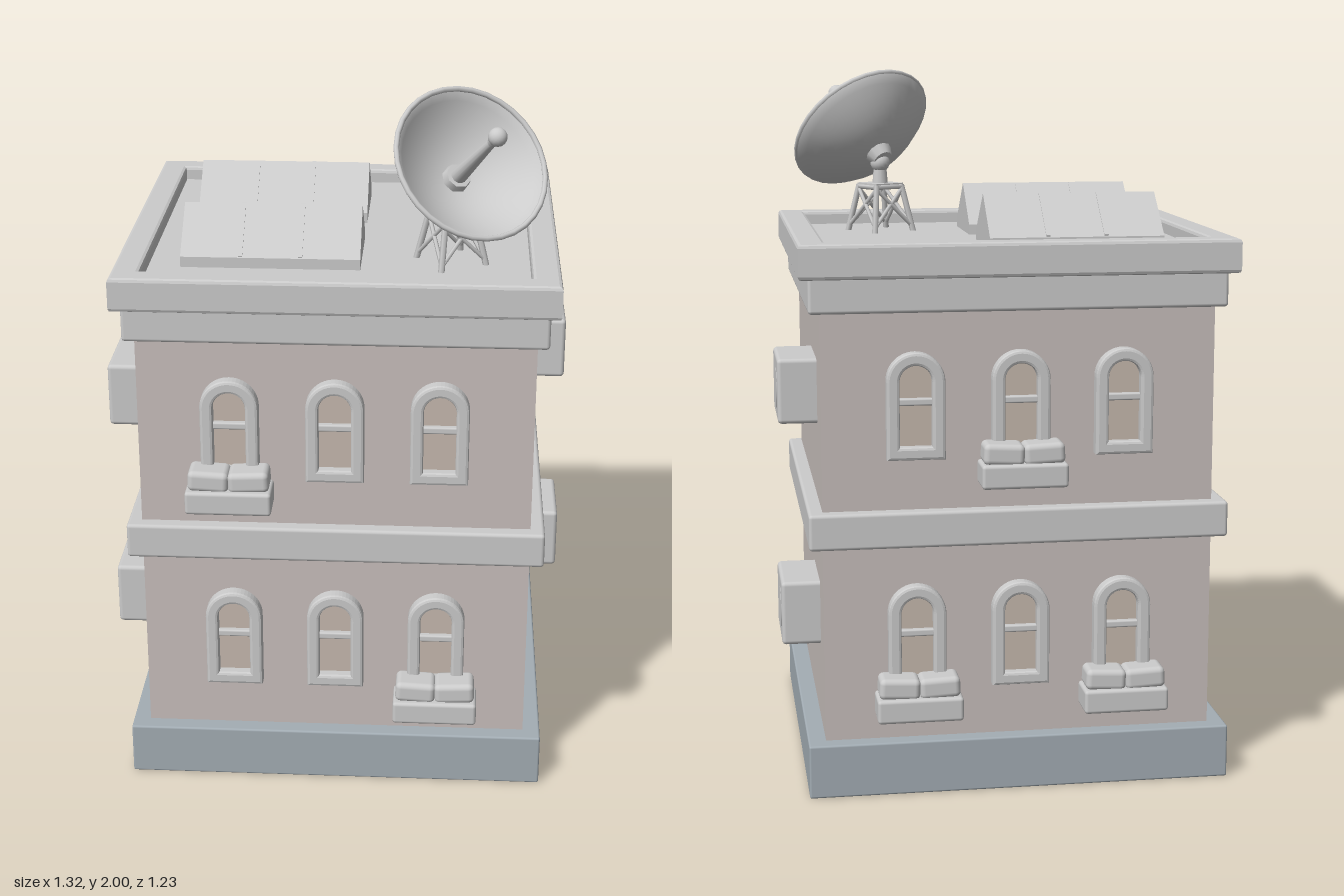
import * as THREE from 'three';
import { RoundedBoxGeometry } from 'three/addons/geometries/RoundedBoxGeometry.js';

const mat = (color = 0xcccccc) => new THREE.MeshStandardMaterial({ color });
const grey = mat();
const wallMat = mat(0xc8bfbc);
const plinthMat = mat(0xa3adb4);
const paneMat = mat(0xc6b9ae);

function add(parent, name, geo, material = grey, x = 0, y = 0, z = 0) {
  const mesh = new THREE.Mesh(geo, material);
  mesh.name = name;
  mesh.position.set(x, y, z);
  parent.add(mesh);
  return mesh;
}

function group(parent, name, x = 0, y = 0, z = 0) {
  const g = new THREE.Group();
  g.name = name;
  g.position.set(x, y, z);
  parent.add(g);
  return g;
}

// Rounded slab spanning y0..y1, centred on x and z
const slab = (parent, name, w, d, y0, y1, material, r = 0.01) =>
  add(parent, name, new RoundedBoxGeometry(w, y1 - y0, d, 2, r), material, 0, (y0 + y1) / 2, 0);

// Straight rod between two points
function rod(parent, name, a, b, r) {
  const dir = b.clone().sub(a);
  const mesh = add(parent, name, new THREE.CylinderGeometry(r, r, dir.length(), 6));
  mesh.position.copy(a).add(b).multiplyScalar(0.5);
  mesh.quaternion.setFromUnitVectors(new THREE.Vector3(0, 1, 0), dir.normalize());
}

// Round-headed outline standing on y = inset
function archShape(w, h, inset, Type = THREE.Shape) {
  const r = w / 2 - inset;
  const s = new Type();
  s.moveTo(-r, inset);
  s.lineTo(r, inset);
  s.lineTo(r, h - w / 2);
  s.absarc(0, h - w / 2, r, 0, Math.PI, false);
  s.closePath();
  return s;
}

function rectPath(w, d, Type) {
  const s = new Type();
  s.moveTo(-w / 2, -d / 2);
  s.lineTo(w / 2, -d / 2);
  s.lineTo(w / 2, d / 2);
  s.lineTo(-w / 2, d / 2);
  s.closePath();
  return s;
}

// Arched sash window; its back lies on the wall at z = 0
function addWindow(parent, x, y, z) {
  const g = group(parent, 'window', x, y, z);
  const frame = archShape(0.158, 0.294, 0.006);
  frame.holes.push(archShape(0.158, 0.294, 0.026, THREE.Path));
  add(g, 'windowFrame', new THREE.ExtrudeGeometry(frame, {
    depth: 0.03, bevelThickness: 0.008, bevelSize: 0.008, bevelSegments: 2, curveSegments: 12,
  }), grey, 0, 0.002, 0);
  const sash = archShape(0.13, 0.28, 0.003);
  sash.holes.push(archShape(0.13, 0.28, 0.017, THREE.Path));
  add(g, 'sash', new THREE.ExtrudeGeometry(sash, { depth: 0.018, bevelEnabled: false }));
  add(g, 'windowPane', new THREE.ExtrudeGeometry(archShape(0.13, 0.28, 0.005), { depth: 0.008, bevelEnabled: false }), paneMat);
  add(g, 'sashRail', new RoundedBoxGeometry(0.116, 0.02, 0.024, 2, 0.005), grey, 0, 0.16, 0.012);
}

// Planter below a window with two soft clumps on top
function addPlanter(parent, x, y, z) {
  const g = group(parent, 'windowBox', x, y, z);
  add(g, 'planter', new RoundedBoxGeometry(0.24, 0.068, 0.11, 2, 0.01), grey, 0, -0.033, 0.055);
  for (const s of [-1, 1]) {
    const clump = add(g, 'plantClump', new RoundedBoxGeometry(0.114, 0.06, 0.09, 3, 0.016), grey, s * 0.056, 0.025, 0.052);
    clump.rotation.z = s * 0.05;
  }
}

// Roof skylight: gabled prism with three bays
function addSkylight(parent, z) {
  const g = group(parent, 'skylight', -0.19, 1.515, z);
  const w = 0.137, eave = 0.03, ridge = 0.145, len = 0.5;
  const s = new THREE.Shape();
  s.moveTo(-w, -0.01);
  s.lineTo(w, -0.01);
  s.lineTo(w, eave);
  s.lineTo(0, ridge);
  s.lineTo(-w, eave);
  s.closePath();
  const body = new THREE.ExtrudeGeometry(s, { depth: len, bevelEnabled: false });
  body.translate(0, 0, -len / 2).rotateY(Math.PI / 2);
  add(g, 'skylightBody', body);
  const slope = Math.atan2(ridge - eave, w);
  for (const side of [-1, 1]) for (const x of [-len / 6, len / 6]) {
    const bar = add(g, 'glazingBar', new THREE.BoxGeometry(0.012, 0.006, 0.17), grey, x, (eave + ridge) / 2, side * w / 2);
    bar.rotation.x = side * slope;
  }
}

// Wall-mounted air conditioner facing +x
function addAirConditioner(parent, y) {
  const g = group(parent, 'airConditioner', 0.595, y, -0.217);
  add(g, 'casing', new RoundedBoxGeometry(0.13, 0.185, 0.255, 2, 0.012));
  const fan = new THREE.CylinderGeometry(0.058, 0.058, 0.006, 24).rotateZ(Math.PI / 2);
  add(g, 'fanCover', fan, grey, 0.063, 0, -0.043);
}

function addDish(parent) {
  const x = 0.31, z = 0.25, floor = 1.51, top = 1.655;
  const azimuth = Math.PI / 6;

  // Braced lattice stand
  const tower = group(parent, 'dishStand', x, floor, z);
  tower.rotation.y = azimuth;
  const h = top - floor;
  const corner = (i, r, y) => {
    const a = (i + 0.5) * Math.PI / 2;
    return new THREE.Vector3(Math.cos(a) * r * Math.SQRT2, y, Math.sin(a) * r * Math.SQRT2);
  };
  for (let i = 0; i < 4; i++) {
    rod(tower, 'standLeg', corner(i, 0.072, 0), corner(i, 0.046, h), 0.009);
    rod(tower, 'standBrace', corner(i, 0.069, 0.02), corner(i + 1, 0.047, h - 0.01), 0.006);
    rod(tower, 'standBrace', corner(i + 1, 0.069, 0.02), corner(i, 0.047, h - 0.01), 0.006);
    rod(tower, 'standRail', corner(i, 0.046, h - 0.005), corner(i + 1, 0.046, h - 0.005), 0.008);
  }
  add(tower, 'standPlate', new THREE.BoxGeometry(0.1, 0.012, 0.1), grey, 0, h, 0);
  add(tower, 'neck', new THREE.CylinderGeometry(0.018, 0.024, 0.07, 12), grey, 0, h + 0.035, 0);
  add(tower, 'pivot', new THREE.SphereGeometry(0.03, 16, 12), grey, 0, h + 0.068, 0);

  // Reflector and feed, built along y and then tilted
  const dish = group(parent, 'dish', 0.36, 1.824, 0.333);
  const n = new THREE.Vector3(0.4, 0.63, 0.66).normalize();
  dish.quaternion.setFromUnitVectors(new THREE.Vector3(0, 1, 0), n);
  const R = 0.224, depth = 0.11, profile = [];
  for (let i = 0; i <= 10; i++) profile.push(new THREE.Vector2(R * i / 10, depth * ((i / 10) ** 2 - 1) - 0.012 * (1 - i / 20)));
  for (let i = 10; i >= 0; i--) profile.push(new THREE.Vector2((R - 0.006) * i / 10, depth * ((i / 10) ** 2 - 1)));
  add(dish, 'reflector', new THREE.LatheGeometry(profile, 32));
  add(dish, 'reflectorRim', new THREE.TorusGeometry(R - 0.003, 0.008, 8, 32).rotateX(Math.PI / 2));
  add(dish, 'backMount', new THREE.CylinderGeometry(0.045, 0.03, 0.035, 12), grey, 0, -depth - 0.018, 0);
  add(dish, 'feedFlange', new THREE.CylinderGeometry(0.036, 0.042, 0.03, 8), grey, 0, -depth + 0.012, 0);
  add(dish, 'feedArm', new THREE.CylinderGeometry(0.011, 0.024, 0.25, 12), grey, 0, 0.025, 0);
  add(dish, 'feedCollar', new THREE.CylinderGeometry(0.018, 0.014, 0.02, 12), grey, 0, 0.138, 0);
  add(dish, 'feedTip', new THREE.SphereGeometry(0.026, 16, 12), grey, 0, 0.163, 0);
}

export function createModel() {
  const model = new THREE.Group();
  model.name = 'building';

  // Storeys and bands
  slab(model, 'plinth', 1.2, 1.11, 0, 0.153, plinthMat, 0.006);
  add(model, 'lowerWalls', new THREE.BoxGeometry(1.1, 0.58, 1.016), wallMat, 0, 0.43, 0);
  slab(model, 'middleBand', 1.18, 1.094, 0.71, 0.812, grey);
  add(model, 'upperWalls', new THREE.BoxGeometry(1.1, 0.6, 1.016), wallMat, 0, 1.09, 0);
  slab(model, 'lowerCornice', 1.164, 1.07, 1.363, 1.465, grey);

  // Parapet ring around the sunken roof
  const b = 0.01;
  const ring = rectPath(1.218 - 2 * b, 1.13 - 2 * b, THREE.Shape);
  ring.holes.push(rectPath(1.06 + 2 * b, 0.98 + 2 * b, THREE.Path));
  const parapet = new THREE.ExtrudeGeometry(ring, { depth: 0.096 - 2 * b, bevelThickness: b, bevelSize: b, bevelSegments: 2 });
  add(model, 'parapet', parapet.rotateX(-Math.PI / 2), grey, 0, 1.459 + b, 0);
  add(model, 'roofDeck', new THREE.BoxGeometry(1.08, 0.065, 1), grey, 0, 1.4825, 0);

  // Front and back windows; planters listed as [storey, column]
  const columns = [-0.292, 0, 0.29], sills = [0.302, 0.957], wallZ = 0.507;
  const planters = { front: [[1, 0], [0, 2]], back: [[0, 0], [0, 2], [1, 1]] };
  for (const side of ['front', 'back']) {
    const facade = group(model, side + 'Facade');
    if (side === 'back') facade.rotation.y = Math.PI;
    for (const y of sills) for (const x of columns) addWindow(facade, x, y, wallZ);
    for (const [storey, column] of planters[side]) addPlanter(facade, columns[column], sills[storey] - 0.007, wallZ);
  }

  // Air conditioners, repeated half a turn round on the opposite wall
  for (const side of ['left', 'right']) {
    const wall = group(model, side + 'AirConditioners');
    if (side === 'right') wall.rotation.y = Math.PI;
    for (const y of [0.478, 1.122]) addAirConditioner(wall, y);
  }

  // Roof equipment
  for (const z of [-0.215, 0.207]) addSkylight(model, z);
  addDish(model);
  return model;
}
